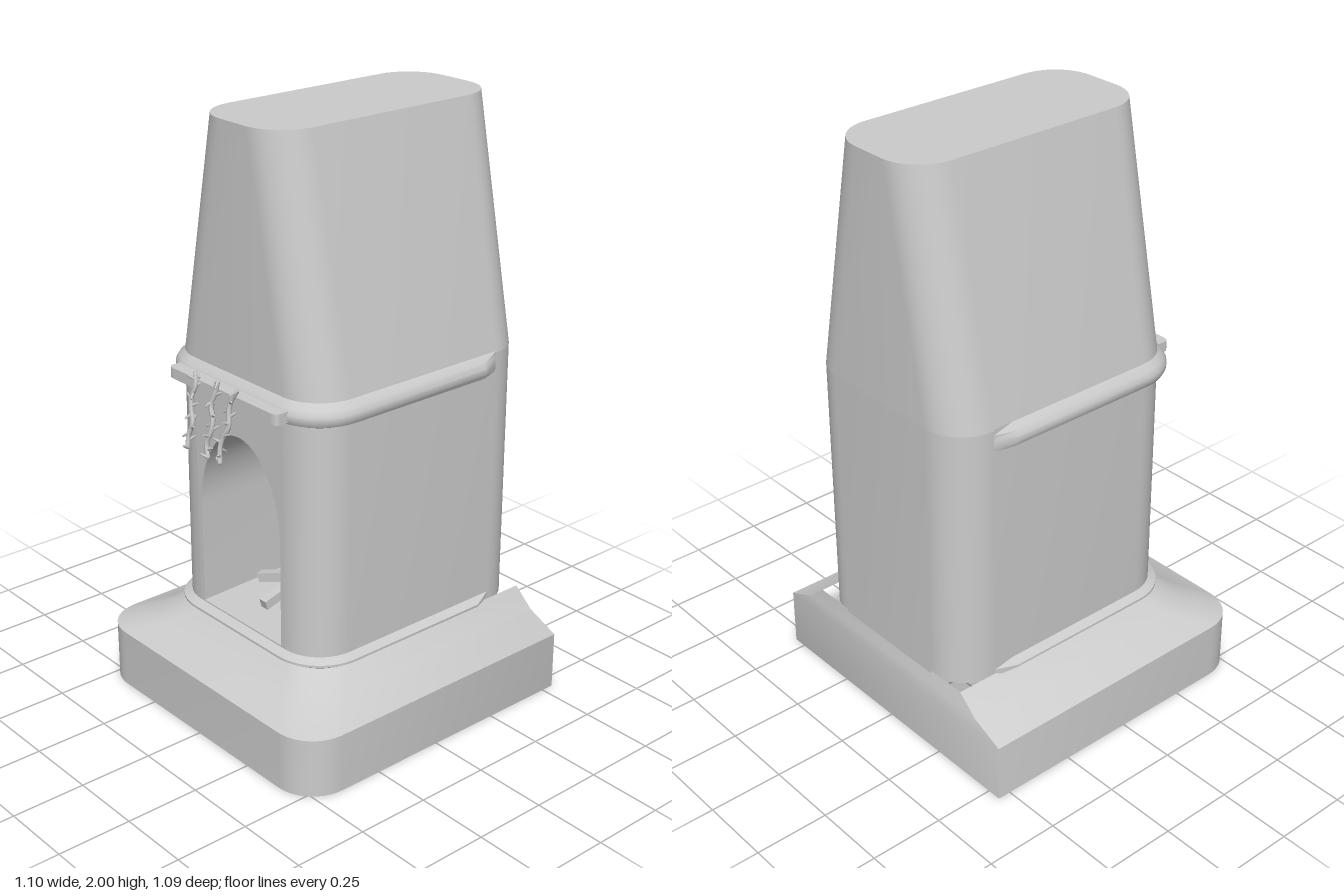
import * as THREE from 'three';
import { toCreasedNormals } from 'three/addons/utils/BufferGeometryUtils.js';

const BACK = -0.545, FRONT = 0.36, HALF = 0.365;
const V = (x, y, z) => new THREE.Vector3(x, y, z);

// Skins a list of cross-sections (arrays of points, all the same length)
function loft(layers, closed = true) {
  const n = layers[0].length, pos = [], index = [];
  layers.forEach(l => l.forEach(p => pos.push(p.x, p.y, p.z)));
  for (let j = 0; j < layers.length - 1; j++) {
    for (let i = 0; i < (closed ? n : n - 1); i++) {
      const k = (i + 1) % n;
      const a = j * n + i, b = j * n + k, c = a + n, d = b + n;
      index.push(a, b, d, a, d, c);
    }
  }
  const g = new THREE.BufferGeometry();
  g.setAttribute('position', new THREE.Float32BufferAttribute(pos, 3));
  g.setIndex(index);
  return toCreasedNormals(g, 0.6);
}

// Rounded rectangle with a fixed back plane, running front, left, back, right
function outline(y, hw, zf, rf, rb, steps = 10) {
  const pts = [];
  const corners = [[1, 1, rf], [1, -1, rb], [-1, -1, rb], [-1, 1, rf]];
  corners.forEach(([sx, sz, r], q) => {
    for (let i = 0; i <= steps; i++) {
      const t = Math.PI / 2 * (1 - q - i / steps);
      const cz = sz > 0 ? zf - r : BACK + r;
      pts.push(V(sx * (hw - r) + r * Math.cos(t), y, cz + r * Math.sin(t)));
    }
  });
  return pts;
}

const centre = y => V(0, y, -0.08);
const capLayer = layer => layer.map(p => centre(p.y));

// Arch outline of the fire opening, from lower right over the top to lower left
function archPoints(bottom) {
  const pts = [[-0.2, bottom]];
  for (let i = 0; i <= 24; i++) {
    const t = Math.PI * (1 - i / 24);
    pts.push([0.2 * Math.cos(t), 0.7 + 0.3 * Math.sin(t)]);
  }
  pts.push([0.2, bottom]);
  return pts;
}

// Moulding round front and sides that fades out towards the back
function moulding(profile) {
  const r = 0.145, path = [];
  const add = (x, z, nx, nz, s) => path.push({ x, z, nx, nz, s });
  add(-HALF, -0.4, -1, 0, 0);
  add(-HALF, -0.33, -1, 0, 1);
  for (const side of [-1, 1]) {
    for (let i = 0; i <= 10; i++) {
      const t = Math.PI / 2 * (side < 0 ? 2 - i / 10 : 1 - i / 10);
      const c = Math.cos(t), s = Math.sin(t);
      add(side * (HALF - r) + r * c, FRONT - r + r * s, c, s, 1);
    }
  }
  add(HALF, -0.33, 1, 0, 1);
  add(HALF, -0.4, 1, 0, 0);
  return loft(profile.map(([o, y]) =>
    path.map(p => V(p.x + p.nx * o * p.s, y, p.z + p.nz * o * p.s))), false);
}

export function createModel() {
  const group = new THREE.Group();
  const mat = new THREE.MeshStandardMaterial({ color: 0xcccccc });
  const thin = new THREE.MeshStandardMaterial({ color: 0xcccccc, side: THREE.DoubleSide });
  const add = (name, geo, m = mat, parent = group) => {
    const mesh = new THREE.Mesh(geo, m);
    mesh.name = name;
    parent.add(mesh);
    return mesh;
  };
  const sub = name => {
    const g = new THREE.Group();
    g.name = name;
    group.add(g);
    return g;
  };

  // Plinth with sloping shoulders
  const foot = outline(0, 0.548, 0.545, 0.14, 0.001);
  add('plinth', loft([
    capLayer(foot), foot,
    outline(0.2, 0.548, 0.545, 0.14, 0.001),
    outline(0.25, 0.435, 0.43, 0.14, 0.001),
    outline(0.312, HALF, FRONT, 0.14, 0.001),
  ]));

  // Body: sides and back, then the front panel with the arched opening
  add('bodyShell', loft([0.3, 1.2].map(y => outline(y, HALF, FRONT, 0.145, 0.145)), false));
  const panel = new THREE.Shape();
  const w = HALF - 0.145;
  panel.moveTo(-w, 0.3).lineTo(w, 0.3).lineTo(w, 1.2).lineTo(-w, 1.2).closePath();
  panel.holes.push(new THREE.Path(archPoints(0.345).map(p => new THREE.Vector2(...p))));
  add('frontPanel', new THREE.ShapeGeometry(panel).translate(0, 0, FRONT));

  // Firebox with back wall
  const cavity = (bottom, z) => archPoints(bottom).map(([x, y]) => V(x, y, z));
  const rear = cavity(0.36, -0.22);
  add('firebox', loft([cavity(0.345, FRONT), rear, rear.map(() => V(0, 0.65, -0.22))]), thin);

  // Tapering hood
  const top = outline(2, 0.2, FRONT, 0.14, 0.14);
  add('hood', loft([outline(1.2, HALF, FRONT, 0.145, 0.145), top, capLayer(top)]));

  // Mouldings and mantel shelf
  add('lowerMoulding', moulding([[0, 0.3], [0.028, 0.318], [0.028, 0.326], [0, 0.34]]), thin);
  add('upperMoulding', moulding([[0, 1.125], [0.022, 1.135], [0.03, 1.15], [0.03, 1.168],
    [0.02, 1.185], [0, 1.205]]), thin);
  const shelf = new THREE.Shape();
  shelf.moveTo(-0.267, -0.34).lineTo(-0.267, -0.41);
  shelf.quadraticCurveTo(-0.267, -0.427, -0.24, -0.427).lineTo(0.24, -0.427);
  shelf.quadraticCurveTo(0.267, -0.427, 0.267, -0.41).lineTo(0.267, -0.34).closePath();
  add('mantelShelf', new THREE.ExtrudeGeometry(shelf, { depth: 0.036, bevelEnabled: false })
    .rotateX(-Math.PI / 2).translate(0, 1.142, 0));

  // Logs stacked in a star
  const logs = sub('logs');
  for (let i = 0; i < 5; i++) {
    const a = Math.PI * (0.1 + i * 0.4);
    const dir = V(Math.cos(a), 0, Math.sin(a));
    const low = dir.clone().multiplyScalar(0.17).setY(0.378);
    const high = dir.clone().multiplyScalar(-0.05).setY(0.44);
    const log = add('log', new THREE.BoxGeometry(0.032, 0.032, low.distanceTo(high)), mat, logs);
    log.position.copy(low).add(high).multiplyScalar(0.5);
    log.lookAt(high);
    logs.add(log);
  }
  logs.position.z = 0.1;

  // Hanging strings with small pods
  const strings = sub('hangingStrings');
  [[-0.115, 0.02], [-0.01, 0.01], [0.085, -0.03]].forEach(([x, drift], s) => {
    const pts = [];
    for (let i = 0; i <= 6; i++) {
      const t = i / 6;
      pts.push(V(x + drift * t + 0.01 * Math.sin(i * 2 + s), 1.205 - 0.235 * t, 0.435 + 0.048 * t));
    }
    const curve = new THREE.CatmullRomCurve3(pts);
    add('string', new THREE.TubeGeometry(curve, 16, 0.008, 6), mat, strings);
    for (let i = 0; i < 12; i++) {
      const a = i * 2.4 + s;
      const dir = V(Math.cos(a), i % 3 ? 0.5 : -0.6, Math.sin(a)).normalize();
      const pod = add('pod', new THREE.CylinderGeometry(0.003, 0.007, 0.03, 5), mat, strings);
      pod.position.copy(curve.getPoint(i / 11)).addScaledVector(dir, 0.012);
      pod.quaternion.setFromUnitVectors(V(0, 1, 0), dir);
    }
  });

  return group;
}
